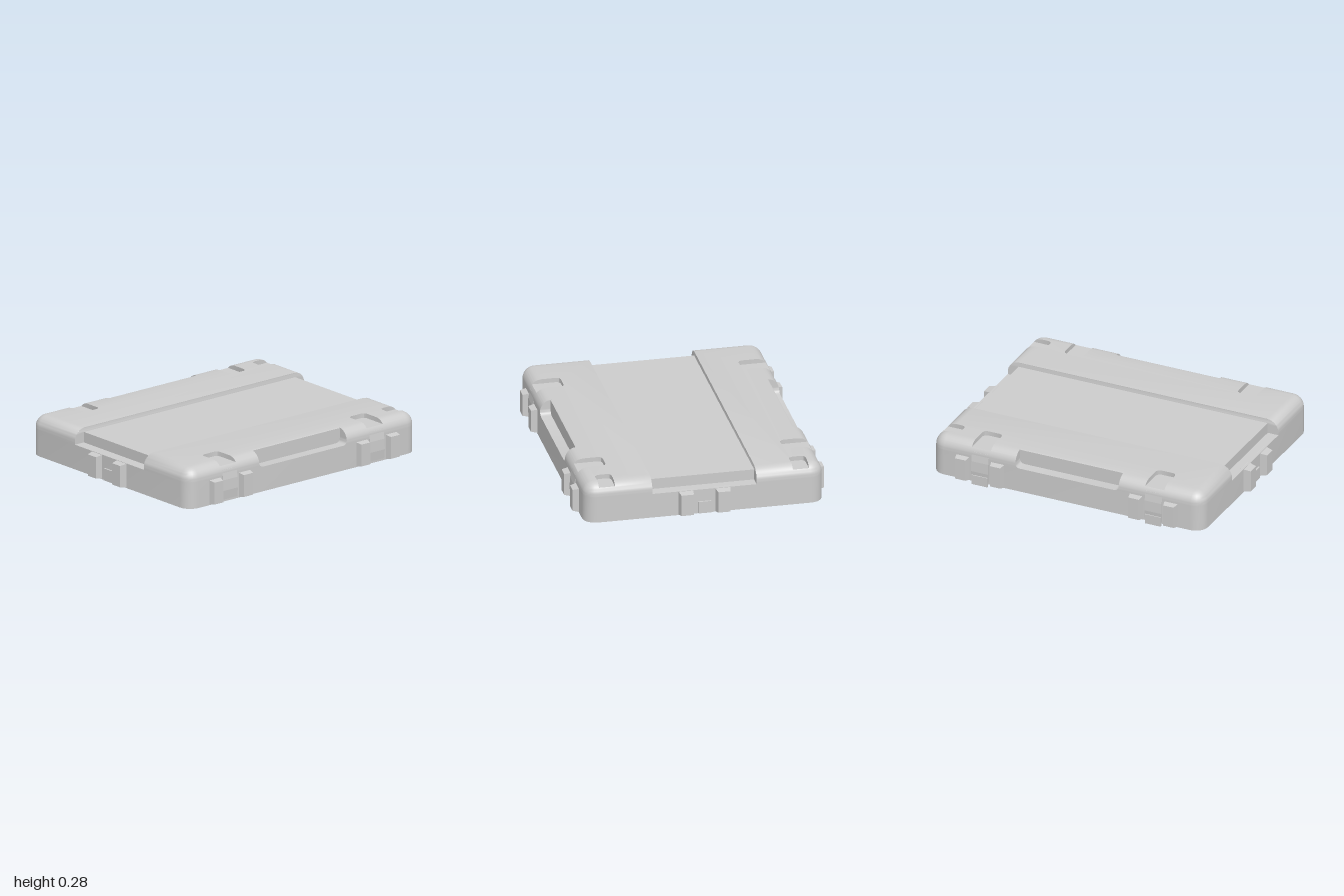
import * as THREE from 'three';
import { mergeGeometries, toCreasedNormals } from 'three/addons/utils/BufferGeometryUtils.js';

// Half sizes, levels and edge radius of the lid
const W = 0.955, D = 0.78, BASE = 0.015, LEDGE = 0.18, PANEL = 0.25, TOP = 0.28;
const R = 0.08, WALL = 0.032, PANEL_X = 0.88, PANEL_Z = 0.34, LATCH_X = 0.612;
const material = new THREE.MeshStandardMaterial({ color: 0xcccccc, side: THREE.DoubleSide });

// How far the rounded top edge pulls in at height y
function inset(y) {
  const h = Math.max(0, y - (TOP - R));
  return R - Math.sqrt(Math.max(0, R * R - h * h));
}

// Plan outline, counter-clockwise from above; v = -z. Notches are [from, to, inner edge].
function outline(x, v0, v1, r0, r1, { right = [], back = [], left = [], front = [] }) {
  const pts = [];
  const add = (a, b) => pts.push(new THREE.Vector2(a, b));
  const corner = (cx, cv, r, start) => {
    for (let i = 0; i <= 6; i++) {
      const a = start + (i / 6) * Math.PI / 2;
      add(cx + r * Math.cos(a), cv + r * Math.sin(a));
    }
  };
  const notch = (edge, [a, b, inner, c = 0], put) => {
    const s = Math.sign(edge);
    const e = s * Math.min(Math.abs(inner), Math.abs(edge) - 0.001);
    const k = c * Math.sign(b - a);
    put(edge, a); put(e + s * c, a); put(e + s * c * 0.3, a + k * 0.3); put(e, a + k);
    put(e, b - k); put(e + s * c * 0.3, b - k * 0.3); put(e + s * c, b); put(edge, b);
  };
  const alongV = (e, p) => add(e, p), alongX = (e, p) => add(p, e);
  right.forEach(n => notch(x, n, alongV));
  corner(x - r1, v1 - r1, r1, 0);
  back.forEach(n => notch(v1, n, alongX));
  corner(-x + r1, v1 - r1, r1, Math.PI / 2);
  left.forEach(n => notch(-x, n, alongV));
  corner(-x + r0, v0 + r0, r0, Math.PI);
  front.forEach(n => notch(v0, n, alongX));
  corner(x - r0, v0 + r0, r0, 1.5 * Math.PI);
  return pts;
}

// Walls joining a stack of outlines
function loft(levels, outlineAt, drop = 0) {
  const pos = [];
  const loops = levels.map(y => outlineAt(y).map(p => [p.x, y - drop, -p.y]));
  for (let k = 0; k + 1 < loops.length; k++) {
    const lo = loops[k], hi = loops[k + 1];
    lo.forEach((a, i) => {
      const j = (i + 1) % lo.length;
      pos.push(...a, ...lo[j], ...hi[j], ...a, ...hi[j], ...hi[i]);
    });
  }
  return new THREE.BufferGeometry().setAttribute('position', new THREE.Float32BufferAttribute(pos, 3));
}

// Flat surface facing up
function cap(points, y, holes = []) {
  const shape = new THREE.Shape(points);
  shape.holes = holes.map(h => new THREE.Path(h));
  const g = new THREE.ShapeGeometry(shape).rotateX(-Math.PI / 2).translate(0, y, 0).toNonIndexed();
  g.deleteAttribute('uv');
  g.deleteAttribute('normal');
  return g;
}
const rect = (x0, x1, v0, v1, y) =>
  cap([[x0, v0], [x1, v0], [x1, v1], [x0, v1]].map(p => new THREE.Vector2(...p)), y);

function flip(g) {
  const p = g.attributes.position.array;
  for (let i = 0; i < p.length; i += 9)
    for (let k = 0; k < 3; k++) [p[i + 3 + k], p[i + 6 + k]] = [p[i + 6 + k], p[i + 3 + k]];
  return g;
}

const steps = (a, b, n) => Array.from({ length: n + 1 }, (_, i) => a + (b - a) * i / n);
const cornerRadius = d => Math.max(0.004, 0.085 - d);
const rimOutline = t => outline(W - t, -D + t, D - t, cornerRadius(t), cornerRadius(t), {});

// One skin of the lid, shrunk by t with every recess grown by t
function skin(t) {
  const parts = [loft([BASE + t, LEDGE], () => rimOutline(t), t)];
  // Handle recess is narrower at its floor, giving round lower corners
  const handle = y => 0.335 + t + 0.03 * Math.sqrt(1 - (1 - Math.min(1, (y - LEDGE) / 0.03)) ** 2);
  const hv = 0.71 - t, px = PANEL_X - t, pv = PANEL_Z + t;

  // Middle storey: handle recesses front and back, ledges at the sides
  parts.push(loft([LEDGE, 0.183, 0.19, 0.2, 0.21, 0.22, 0.23, 0.24, PANEL], y => {
    const d = inset(y) + t, h = handle(y), r = cornerRadius(d);
    return outline(W - d, -D + d, D - d, r, r, {
      right: [[-pv, pv, px]], left: [[pv, -pv, -px]],
      back: [[h, -h, hv]], front: [[-h, h, -hv]],
    });
  }, t));
  for (const s of [-1, 1]) {
    parts.push(rect(Math.min(s * px, s * (W - t)), Math.max(s * px, s * (W - t)), -pv, pv, LEDGE - t));
    parts.push(rect(-handle(LEDGE), handle(LEDGE), Math.min(s * hv, s * (D - t)), Math.max(s * hv, s * (D - t)), LEDGE - t));
  }
  parts.push(rect(-px, px, -pv, pv, PANEL - t));

  // Raised front and back ends with latch notches and one corner pocket each
  for (const turn of [0, 1]) {
    const l0 = LATCH_X - 0.067 - t, l1 = LATCH_X + 0.067 + t, lv = 0.58 - t;
    const p0 = 0.58 - t, p1 = 0.685 + t, pin = 0.808 - t, h = handle(PANEL), c = 0.025;
    const at = y => {
      const d = inset(y) + t;
      return outline(W - d, pv, D - d, 0.001, cornerRadius(d), {
        right: turn ? [] : [[p0, p1, pin, c]],
        left: turn ? [[p1, p0, -pin, c]] : [],
        back: [[l1, l0, lv, c], [h, -h, hv], [-l0, -l1, lv, c]],
      });
    };
    const d = inset(PANEL) + t, y = PANEL - t;
    const end = [loft(steps(PANEL, TOP, 7), at, t), cap(at(TOP), TOP - t),
      rect(l0, l1, lv, D - d, y), rect(-l1, -l0, lv, D - d, y),
      turn ? rect(-W + d, -pin, p0, p1, y) : rect(pin, W - d, p0, p1, y)];
    parts.push(...end.map(g => g.rotateY(turn * Math.PI)));
  }
  return mergeGeometries(parts);
}

// Tapered guard rib: back at z = 0, growing towards +z
function ribGeometry(w, h, depth) {
  const g = new THREE.BoxGeometry(w, h, depth).translate(0, 0, depth / 2);
  const p = g.attributes.position;
  for (let i = 0; i < p.count; i++)
    if (p.getZ(i) > depth / 2) p.setXY(i, p.getX(i) * 0.74, p.getY(i) * 0.86);
  g.computeVertexNormals();
  return g;
}

export function createModel() {
  const model = new THREE.Group();
  const add = (parent, name, geometry, x = 0, y = 0, z = 0) => {
    const mesh = new THREE.Mesh(geometry, material);
    mesh.name = name;
    mesh.position.set(x, y, z);
    parent.add(mesh);
    return mesh;
  };

  // Hollow lid: outer skin, inner skin and the rim between them
  add(model, 'lidOuterShell', toCreasedNormals(skin(0), 0.6));
  add(model, 'lidInnerShell', toCreasedNormals(flip(skin(WALL)), 0.6));
  add(model, 'lidRim', toCreasedNormals(flip(cap(rimOutline(0), BASE, [rimOutline(WALL)])), 0.6));

  // Latch plate profile in (z, y), extruded across
  const plateShape = new THREE.Shape([[0.755, 0.03], [0.785, 0.03], [0.791, 0.09], [0.788, 0.16],
    [0.776, 0.225], [0.755, 0.249]].map(p => new THREE.Vector2(...p)));
  const plate = new THREE.ExtrudeGeometry(plateShape, { depth: 0.12, bevelEnabled: false })
    .rotateY(-Math.PI / 2).translate(0.06, 0, 0);
  // The turn leaves z mirrored only in x order, so the profile still faces +z
  const rib = ribGeometry(0.1, 0.17, 0.06);

  for (const side of [1, -1]) {
    const face = new THREE.Group();
    face.name = side > 0 ? 'frontLatches' : 'backLatches';
    face.rotation.y = side > 0 ? 0 : Math.PI;
    model.add(face);
    for (const s of [-1, 1]) {
      add(face, 'latchPlate', plate, s * LATCH_X);
      for (const k of [-1, 1]) add(face, 'latchGuard', rib, s * (LATCH_X + k * 0.123), 0.1, 0.76);
      if (side < 0) add(face, 'latchTab', new THREE.BoxGeometry(0.11, 0.065, 0.014), s * LATCH_X, 0.0325, 0.788);
    }
  }

  // Paired ribs and a small keeper on each end
  const endRib = ribGeometry(0.107, 0.166, 0.065);
  for (const side of [1, -1]) {
    const end = new THREE.Group();
    end.name = side > 0 ? 'leftEndRibs' : 'rightEndRibs';
    end.rotation.y = side * Math.PI / 2;
    model.add(end);
    for (const k of [-1, 1]) add(end, 'endRib', endRib, k * 0.12, 0.098, 0.935);
    add(end, 'endKeeper', new THREE.BoxGeometry(0.085, 0.08, 0.02), 0, 0.058, 0.957);
  }
  return model;
}
